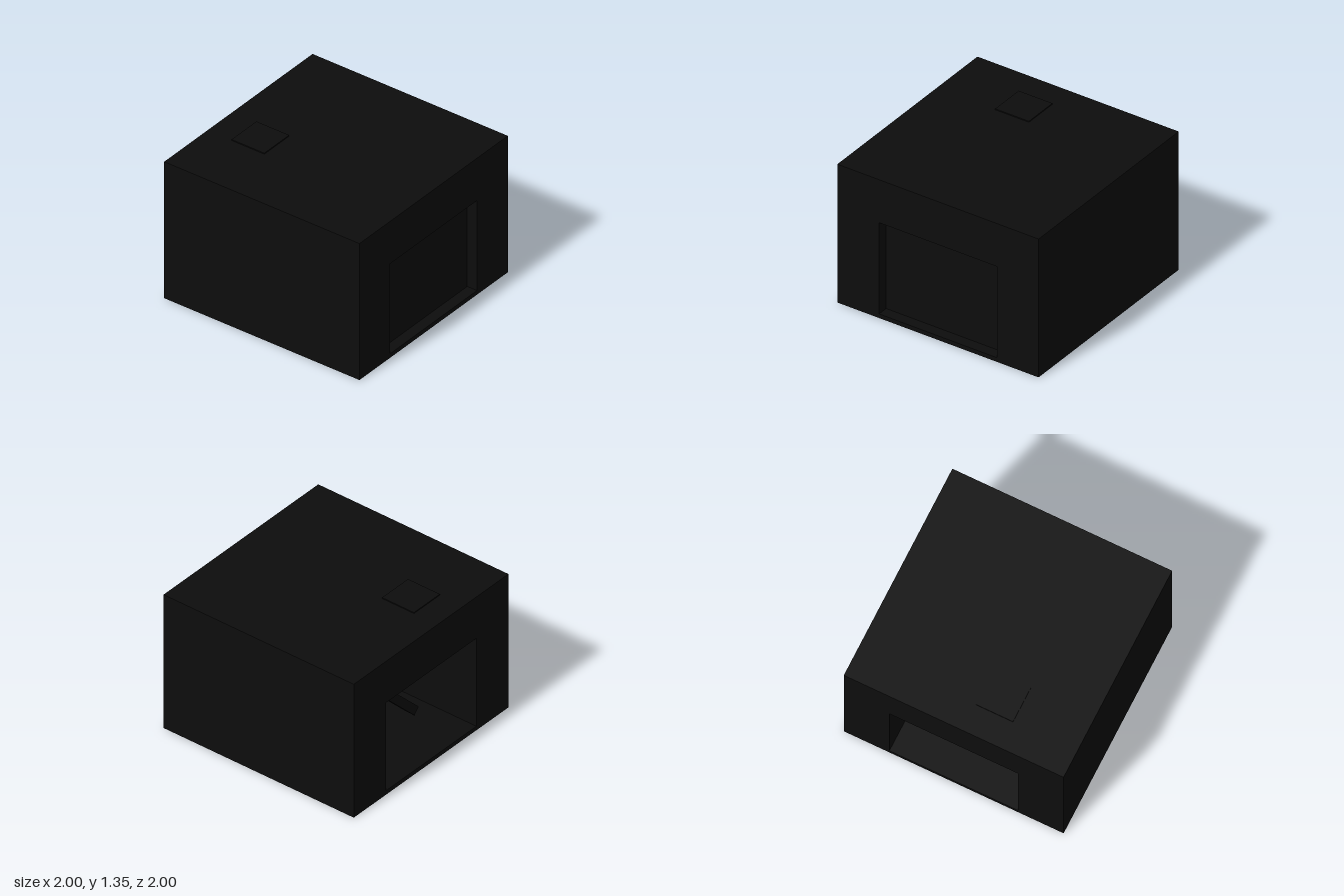
import * as THREE from 'three';

const W = 2, H = 1.335;
const OPEN = { x: 0.585, y0: 0.04, y1: 0.92 };

function rectPath(path, x0, y0, x1, y1) {
  path.moveTo(x0, y0);
  path.lineTo(x1, y0);
  path.lineTo(x1, y1);
  path.lineTo(x0, y1);
  path.closePath();
  return path;
}

export function createModel() {
  const model = new THREE.Group();
  const black = new THREE.MeshStandardMaterial({ color: 0x0d0d0d });
  black.name = 'black';

  function add(name, geometry, x = 0, y = 0, z = 0) {
    const mesh = new THREE.Mesh(geometry, black);
    mesh.name = name;
    mesh.position.set(x, y, z);
    model.add(mesh);
    return mesh;
  }

  // Solid housing with a rectangular chamber running front to back
  const outline = rectPath(new THREE.Shape(), -W / 2, 0, W / 2, H);
  outline.holes.push(rectPath(new THREE.Path(), -OPEN.x, OPEN.y0, OPEN.x, OPEN.y1));
  add('housing', new THREE.ExtrudeGeometry(outline, { depth: 2, bevelEnabled: false }), 0, 0, -1);

  // Recessed panel closing the chamber at the front
  const openH = OPEN.y1 - OPEN.y0;
  const midY = (OPEN.y0 + OPEN.y1) / 2;
  add('frontPanel', new THREE.BoxGeometry(OPEN.x * 2, openH, 0.05), 0, midY, 0.875);

  // Crossed bars inside the open back
  for (const angle of [0, Math.PI / 4, -Math.PI / 4]) {
    const bar = add('crossBar', new THREE.BoxGeometry(1.1, 0.08, 0.08), 0, midY, -0.49);
    bar.rotation.z = angle;
  }

  // Low square cap on the roof
  add('roofCap', new THREE.BoxGeometry(0.335, 0.02, 0.335), -0.25, H, -0.585);

  return model;
}
